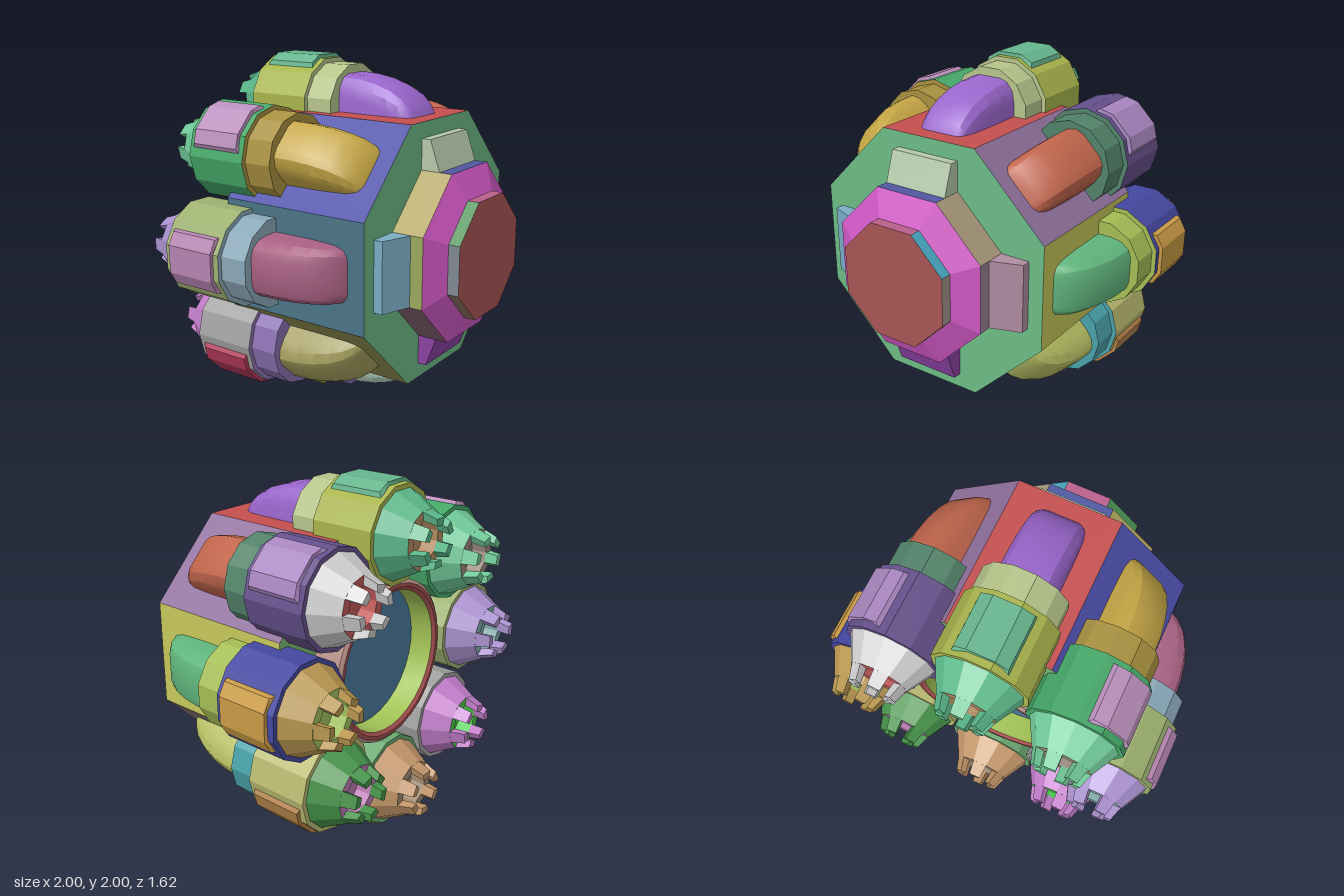
import * as THREE from 'three';
import { toCreasedNormals } from 'three/addons/utils/BufferGeometryUtils.js';

function add(parent, name, geometry, color, flatShading = true) {
  const mesh = new THREE.Mesh(geometry, new THREE.MeshStandardMaterial({ color, flatShading }));
  mesh.name = name;
  parent.add(mesh);
  return mesh;
}

// Shell along z through [apothem, z] points listed back to front, flats on the axes
function prism(points, sides) {
  const k = 1 / Math.cos(Math.PI / sides);
  const g = new THREE.LatheGeometry(
    points.map(([r, z]) => new THREE.Vector2(r * k, z)), sides, Math.PI / sides);
  return toCreasedNormals(g.rotateX(Math.PI / 2), sides > 12 ? 0.5 : 0.1);
}

// Eight coloured flats around the z axis, starting at the top
function octagonWall(parent, name, apothem, z0, z1, colors) {
  const width = 2 * apothem * Math.tan(Math.PI / 8);
  const g = new THREE.PlaneGeometry(width, z1 - z0).rotateX(-Math.PI / 2);
  g.translate(0, apothem, (z0 + z1) / 2);
  colors.forEach((color, i) => {
    add(parent, name, g, color).rotation.z = i * Math.PI / 4;
  });
}

// Box whose corners (signs x, y, z) are placed by a rule
function shapedBox(rule) {
  const g = new THREE.BoxGeometry(2, 2, 2).toNonIndexed();
  const p = g.attributes.position;
  for (let i = 0; i < p.count; i++) p.setXYZ(i, ...rule(p.getX(i), p.getY(i), p.getZ(i)));
  g.computeVertexNormals();
  return g;
}

// Rounded fairing lofted along z through arch sections [z, top, halfWidth, corner]
function fairingGeometry() {
  const sections = [
    [-0.08, 0.91, 0.16, 0.09], [0.06, 0.903, 0.16, 0.09], [0.16, 0.885, 0.16, 0.09],
    [0.25, 0.855, 0.157, 0.085], [0.32, 0.815, 0.153, 0.075], [0.37, 0.765, 0.145, 0.065],
    [0.4, 0.715, 0.132, 0.05], [0.412, 0.68, 0.112, 0.035],
  ];
  const base = 0.6, steps = 3, pos = [], index = [];
  for (const [z, top, w, c] of sections) {
    const h = c * 1.35;
    pos.push(w, base, z);
    for (const side of [1, -1]) {
      for (let i = 0; i <= steps; i++) {
        const a = (side > 0 ? i : steps - i) / steps * Math.PI / 2;
        pos.push(side * (w - c + c * Math.cos(a)), top - h + h * Math.sin(a), z);
      }
    }
    pos.push(-w, base, z);
  }
  const n = 2 * steps + 4, last = (sections.length - 1) * n;
  for (let s = 0; s < last; s += n) {
    for (let i = 0; i < n; i++) {
      const a = s + i, b = s + (i + 1) % n;
      index.push(a, b, b + n, a, b + n, a + n);
    }
  }
  for (let i = 1; i < n - 1; i++) index.push(last, last + i, last + i + 1);
  const g = new THREE.BufferGeometry();
  g.setAttribute('position', new THREE.Float32BufferAttribute(pos, 3));
  g.setIndex(index);
  return toCreasedNormals(g, 0.45);
}

// Raised plate that follows three flats of the pod, with sloped ends
function plateGeometry() {
  const half = [[0.152, 0.2], [0.142, 0.241], [0.075, 0.28]];
  const outline = [...half, ...half.map(([x, y]) => [-x, y]).reverse()];
  const shape = new THREE.Shape(outline.map(([x, y]) => new THREE.Vector2(x, y)));
  const g = new THREE.ExtrudeGeometry(shape, { depth: 0.325, bevelEnabled: false });
  g.translate(0, 0, -0.56);
  const p = g.attributes.position;
  for (let i = 0; i < p.count; i++) {
    const z = p.getZ(i);
    if (p.getY(i) > 0.22) p.setZ(i, z < -0.4 ? z + 0.02 : z - 0.01);
  }
  g.computeVertexNormals();
  return g;
}

// Pod colours counter-clockwise from the top
const PODS = [
  { fairing: 0x9a66cc, collar: 0xb6c48a, band: 0xa8b44c, plate: 0x66b58d, cone: 0x5cb88a, nozzle: 0xb08a60 },
  { fairing: 0xc4a545, collar: 0xa8903f, band: 0x45a868, plate: 0xbb90bd, cone: 0x70c898, nozzle: 0x9a8a80 },
  { fairing: 0xa86082, collar: 0x8aa8b8, band: 0x9db070, plate: 0xb583b0, cone: 0xa890cc, nozzle: 0x80a8a8 },
  { fairing: 0xa09a5a, collar: 0x8a6fb0, band: 0xa0a0a0, plate: 0xb03858, cone: 0xc07cc8, nozzle: 0x48c848 },
  { fairing: 0xa8c4b0, collar: 0x7a70b8, band: 0x6aa870, plate: 0x8a8a35, cone: 0xc09468, nozzle: 0xa08a70 },
  { fairing: 0xb4bc62, collar: 0x48a0a8, band: 0xb8b870, plate: 0xb08048, cone: 0x46924a, nozzle: 0xb878b0 },
  { fairing: 0x60b47c, collar: 0xa4bc54, band: 0x4447a0, plate: 0xc89a44, cone: 0xb8964f, nozzle: 0xa0c060 },
  { fairing: 0xc0654c, collar: 0x52826a, band: 0x65508a, plate: 0xa886c0, cone: 0xc4c4c4, nozzle: 0xc05858 },
];

export function createModel() {
  const model = new THREE.Group();
  model.name = 'octagonalPodEngine';
  const core = new THREE.Group();
  core.name = 'core';
  core.position.y = 1;
  model.add(core);

  // Octagonal hull
  octagonWall(core, 'hullSide', 0.71, -0.38, 0.5,
    [0xc44f4f, 0x4a4ca8, 0x4a7486, 0x8a8a50, 0x8a7a48, 0x857272, 0xc6c65a, 0x8f6f9c]);
  add(core, 'hullFront', prism([[0.71, 0.5], [0, 0.5]], 8), 0x6cba85);
  add(core, 'hullBack', prism([[0, -0.38], [0.71, -0.38]], 8), 0x7ab870);

  // Stepped nose
  octagonWall(core, 'noseBase', 0.46, 0.49, 0.68,
    [0x5058a0, 0xb0a45e, 0x9aa85c, 0x806070, 0x70508a, 0x3c4860, 0x9a7f95, 0xa8987a]);
  add(core, 'noseTaper', prism([[0.46, 0.68], [0.32, 0.745]], 8), 0xd058c4);
  octagonWall(core, 'noseTip', 0.32, 0.745, 0.81,
    [0xb8608a, 0x489050, 0x808890, 0x8a6a60, 0x607090, 0x35702f, 0xa89490, 0x4aa8c0]);
  add(core, 'noseCap', prism([[0.32, 0.81], [0, 0.81]], 8), 0xa85454);

  // Sloped blocks around the nose
  const block = shapedBox((x, y, z) => [
    x * 0.19, y > 0 ? 0.625 : 0.44, z < 0 ? 0.48 : y > 0 ? 0.55 : 0.615]);
  [0xb4c8aa, 0x7aabc4, 0x8a42a2, 0xb08ca2].forEach((color, i) => {
    add(core, 'noseBlock', block, color).rotation.z = i * Math.PI / 2;
  });

  // Open round socket at the back
  add(core, 'socketFloor', prism([[0, -0.4], [0.4, -0.4]], 32), 0x4a7a9c, false);
  add(core, 'socketWall', prism([[0.4, -0.4], [0.4, -0.54]], 32), 0xa0c054, false);
  add(core, 'socketLip', prism([[0.4, -0.54], [0.42, -0.555], [0.44, -0.555]], 32), 0xa85050, false);
  add(core, 'socketRim', prism([[0.44, -0.555], [0.46, -0.54], [0.46, -0.37]], 32), 0xb89088, false);

  // Shared pod parts
  const nozzle = prism([[0, -0.64], [0.105, -0.64], [0.105, -0.73], [0.155, -0.73]], 12);
  const cone = prism([[0.155, -0.73], [0.235, -0.58]], 12);
  const band = prism([[0.235, -0.58], [0.26, -0.58], [0.26, -0.21]], 12);
  const collar = prism([[0.26, -0.21], [0.235, -0.21], [0.235, -0.05], [0, -0.05]], 12);
  const plate = plateGeometry();
  const fairing = fairingGeometry();
  const tooth = shapedBox((x, y, z) => {
    const r = z > 0 ? (y > 0 ? 0.155 : 0.105) : (y > 0 ? 0.128 : 0.09);
    return [x * r * Math.tan(Math.PI / 12), r, z > 0 ? -0.728 : -0.81];
  });

  // Eight pods around the hull, each with a toothed nozzle
  PODS.forEach((colors, i) => {
    const pod = new THREE.Group();
    pod.name = 'pod';
    pod.rotation.z = i * Math.PI / 4;
    core.add(pod);
    add(pod, 'podFairing', fairing, colors.fairing, false);
    const barrel = new THREE.Group();
    barrel.name = 'podBarrel';
    barrel.position.y = 0.72;
    pod.add(barrel);
    add(barrel, 'podCollar', collar, colors.collar);
    add(barrel, 'podBand', band, colors.band);
    add(barrel, 'podPlate', plate, colors.plate);
    add(barrel, 'podCone', cone, colors.cone);
    add(barrel, 'podNozzle', nozzle, colors.nozzle);
    for (let t = 0; t < 6; t++) {
      add(barrel, 'nozzleTooth', tooth, colors.cone).rotation.z = t * Math.PI / 3;
    }
  });
  return model;
}
